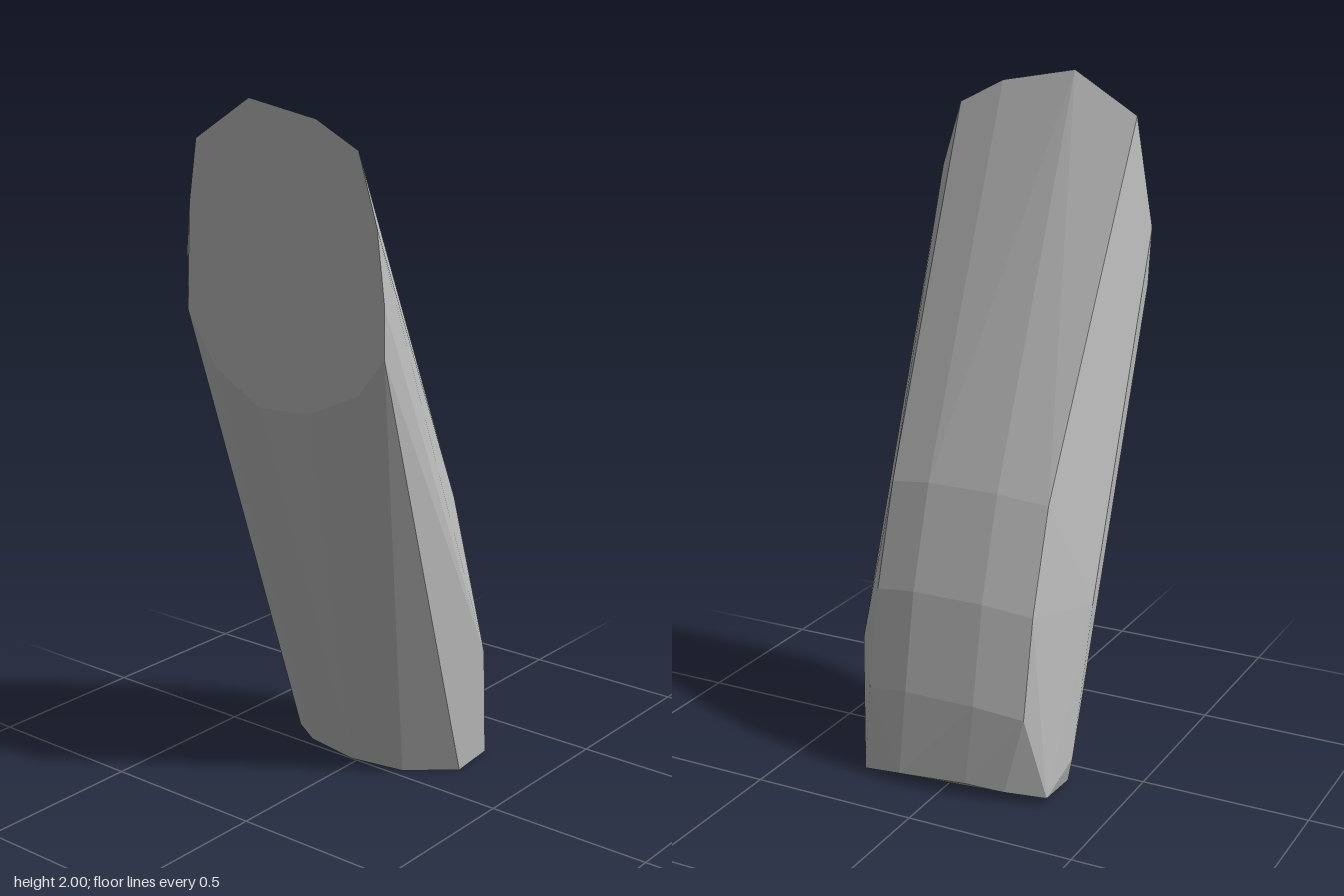
import * as THREE from 'three';
import { ConvexGeometry } from 'three/addons/geometries/ConvexGeometry.js';

export function createModel() {
  const group = new THREE.Group();
  group.name = 'leaningBar';
  const grey = new THREE.MeshStandardMaterial({ color: 0xbdbdbd });
  grey.name = 'grey';

  const points = [];
  const add = (x, y, z) => points.push(new THREE.Vector3(x, y, z));

  // vertical cut at the upper end: [y, z]
  const cut = [
    [2, -0.1], [1.96, 0.13], [1.89, 0.27], [1.7, 0.33], [1.5, 0.355], [1.36, 0.355],
    [1.25, 0.27], [1.17, 0.1], [1.16, -0.08], [1.25, -0.24], [1.4, -0.34], [1.7, -0.325], [1.88, -0.295],
  ];
  for (const [y, z] of cut) add(-0.33, y, z);

  // curved outer crest: [x, y], repeated across the width
  for (const [x, y] of [[0.155, 0.87], [0.25, 0.57], [0.305, 0.28]]) {
    add(x, y, 0.12);
    add(x, y, -0.1);
    add(x - 0.02, y - 0.02, 0.25);
    add(x - 0.02, y - 0.02, -0.25);
  }

  // widest points along the front and back flanks
  add(0.2, 0.37, 0.32);
  add(-0.31, 1.57, -0.357);
  add(0.05, 0.55, -0.352);
  add(0.14, 0.1, -0.336);

  // foot outline: [x, y, z]
  const foot = [
    [0.14, 0, 0.28], [0.03, 0, 0.15], [0, 0, -0.02], [0.03, 0, -0.2], [0.09, 0, -0.3],
    [0.255, 0.02, -0.31], [0.295, 0.03, -0.195], [0.315, 0.04, -0.08], [0.33, 0.03, 0.13], [0.295, 0, 0.265],
  ];
  for (const p of foot) add(...p);

  // faceted convex body around all outlines
  const bar = new THREE.Mesh(new ConvexGeometry(points), grey);
  bar.name = 'curvedBar';
  group.add(bar);
  return group;
}
